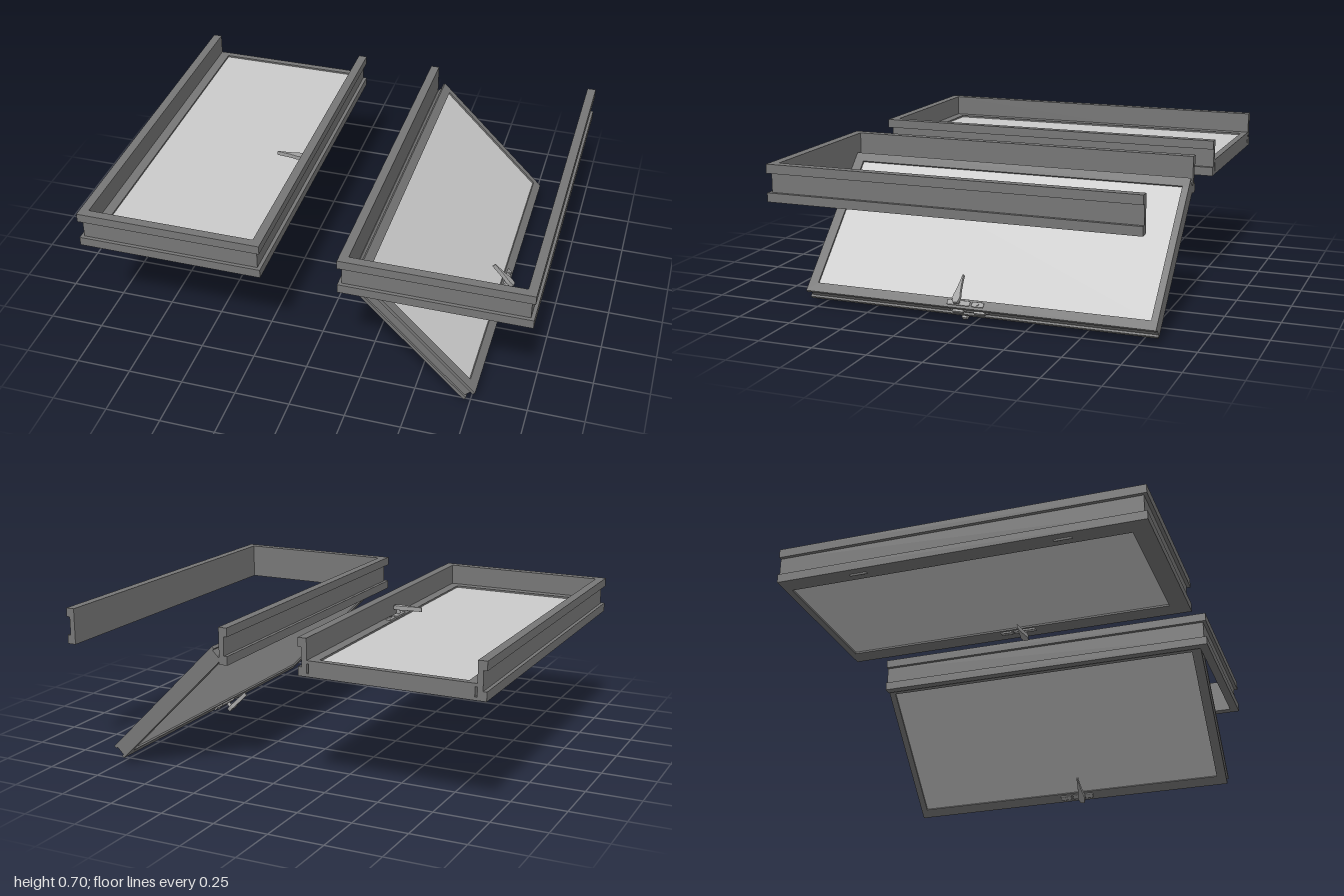
import * as THREE from 'three';
import { RoundedBoxGeometry } from 'three/addons/geometries/RoundedBoxGeometry.js';

const frameMat = new THREE.MeshStandardMaterial({ color: 0x777777, flatShading: true });
const glassMat = new THREE.MeshStandardMaterial({ color: 0xcccccc });
const metalMat = new THREE.MeshStandardMaterial({ color: 0xa0a0a0 });

const BACK = -0.83;      // open (threshold) end
const LEAF_W = 0.75, LEAF_T = 0.07, HEAD_Z = 0.79, STILE = 0.045;

function add(parent, name, geo, mat, x = 0, y = 0, z = 0) {
  const mesh = new THREE.Mesh(geo, mat);
  mesh.name = name;
  mesh.position.set(x, y, z);
  parent.add(mesh);
  return mesh;
}

// Mitred three-sided sweep. Profile points are [inset from outer edge, height], counter-clockwise.
function sweepU(profile, x0, x1, zFront) {
  const rings = [
    profile.map(([o, y]) => [x0 + o, y, BACK]),
    profile.map(([o, y]) => [x0 + o, y, zFront - o]),
    profile.map(([o, y]) => [x1 - o, y, zFront - o]),
    profile.map(([o, y]) => [x1 - o, y, BACK]),
  ];
  const pos = [];
  const tri = (a, b, c) => pos.push(...a, ...b, ...c);
  const n = profile.length;
  for (let r = 0; r < 3; r++) {
    for (let i = 0; i < n; i++) {
      const j = (i + 1) % n;
      const a = rings[r][i], b = rings[r][j], c = rings[r + 1][j], d = rings[r + 1][i];
      tri(a, b, c);
      tri(a, c, d);
    }
  }
  // end caps
  const flat = profile.map(([o, y]) => new THREE.Vector2(o, y));
  for (const [a, b, c] of THREE.ShapeUtils.triangulateShape(flat, [])) {
    tri(rings[0][a], rings[0][c], rings[0][b]);
    tri(rings[3][a], rings[3][b], rings[3][c]);
  }
  const geo = new THREE.BufferGeometry();
  geo.setAttribute('position', new THREE.Float32BufferAttribute(pos, 3));
  geo.computeVertexNormals();
  return geo;
}

// Channel section: grooved on the outer side, flat on the inner side
function channel(width, height, groove, y0, y1) {
  return [[0, 0], [width, 0], [width, height], [0, height],
    [0, y1], [groove, y1], [groove, y0], [0, y0]];
}

// Tapered lever, blade lying in the leaf plane and pointing at the hinge
function leverGeometry() {
  const s = new THREE.Shape();
  s.moveTo(0.018, -0.008);
  s.lineTo(0.018, 0.008);
  s.quadraticCurveTo(-0.005, 0.02, -0.03, 0.011);
  s.quadraticCurveTo(-0.07, 0.004, -0.116, 0.001);
  s.lineTo(-0.116, -0.001);
  s.quadraticCurveTo(-0.07, -0.004, -0.03, -0.011);
  s.quadraticCurveTo(-0.005, -0.02, 0.018, -0.008);
  const g = new THREE.ExtrudeGeometry(s, {
    depth: 0.016, bevelEnabled: true, bevelSize: 0.002, bevelThickness: 0.002,
    bevelSegments: 2, curveSegments: 8,
  });
  return g.translate(0, 0, -0.008).rotateX(-Math.PI / 2);
}

function handleSet() {
  const g = new THREE.Group();
  const rose = new RoundedBoxGeometry(0.024, 0.01, 0.105, 3, 0.004);
  const keyPlate = new RoundedBoxGeometry(0.024, 0.01, 0.055, 3, 0.004);
  const stem = new THREE.CylinderGeometry(0.009, 0.009, 0.04, 16);
  add(g, 'handleRose', rose, metalMat, 0, 0.003, 0.053);
  add(g, 'keyPlate', keyPlate, metalMat, 0, 0.003, -0.036);
  add(g, 'keyCylinder', new THREE.CylinderGeometry(0.007, 0.007, 0.012, 16), metalMat, 0, 0.006, -0.036);
  add(g, 'handleStem', stem, metalMat, 0, 0.018, 0.053);
  add(g, 'handleLever', leverGeometry(), metalMat, 0, 0.036, 0.053);
  return g;
}

// Leaf: hinge edge at x = 0, lower face at y = 0
function makeLeaf() {
  const leaf = new THREE.Group();
  leaf.name = 'doorLeaf';
  const groove = 0.01;
  add(leaf, 'leafFrame', sweepU(channel(STILE, LEAF_T, groove, 0.014, 0.056), 0, LEAF_W, HEAD_Z), frameMat);
  add(leaf, 'bottomRail', new THREE.BoxGeometry(LEAF_W - 2 * STILE, LEAF_T, 0.03), frameMat,
    LEAF_W / 2, LEAF_T / 2, BACK + 0.015);
  const glassFront = HEAD_Z - STILE, glassBack = BACK + 0.03;
  add(leaf, 'glassPanel',
    new THREE.BoxGeometry(LEAF_W - 2 * STILE, LEAF_T - 0.016, glassFront - glassBack), glassMat,
    LEAF_W / 2, LEAF_T / 2, (glassFront + glassBack) / 2);

  // handles on both faces
  for (const side of [1, -1]) {
    const h = handleSet();
    h.name = side > 0 ? 'upperHandle' : 'lowerHandle';
    h.position.set(LEAF_W - 0.023, side > 0 ? LEAF_T : 0, 0);
    h.scale.y = side;
    leaf.add(h);
  }
  // lock on the free edge
  add(leaf, 'lockPlate', new THREE.BoxGeometry(0.004, 0.024, 0.18), metalMat, LEAF_W - 0.009, LEAF_T / 2, 0.01);
  for (const z of [0.06, -0.04])
    add(leaf, 'lockBolt', new THREE.BoxGeometry(0.016, 0.016, 0.05), metalMat, LEAF_W - 0.004, LEAF_T / 2, z);
  // hinge barrels
  for (const z of [-0.46, 0.46])
    add(leaf, 'hinge', new THREE.CylinderGeometry(0.006, 0.006, 0.08, 12).rotateX(Math.PI / 2), metalMat, 0.002, 0, z);
  return leaf;
}

function makeDoor(name, x0, leafX, leafY, angle) {
  const door = new THREE.Group();
  door.name = name;
  add(door, 'outerFrame', sweepU(channel(0.04, 0.165, 0.016, 0.04, 0.125), x0, x0 + 0.83, 0.83),
    frameMat, 0, 0.54, 0);
  const leaf = makeLeaf();
  leaf.position.set(leafX, leafY, 0);
  leaf.rotation.z = angle;
  door.add(leaf);
  return door;
}

export function createModel() {
  const model = new THREE.Group();
  model.name = 'doors';
  model.add(makeDoor('closedDoor', -1, -0.96, 0.54, 0));
  model.add(makeDoor('openDoor', 0.17, 0.195, 0.567, -Math.PI / 4));
  return model;
}
